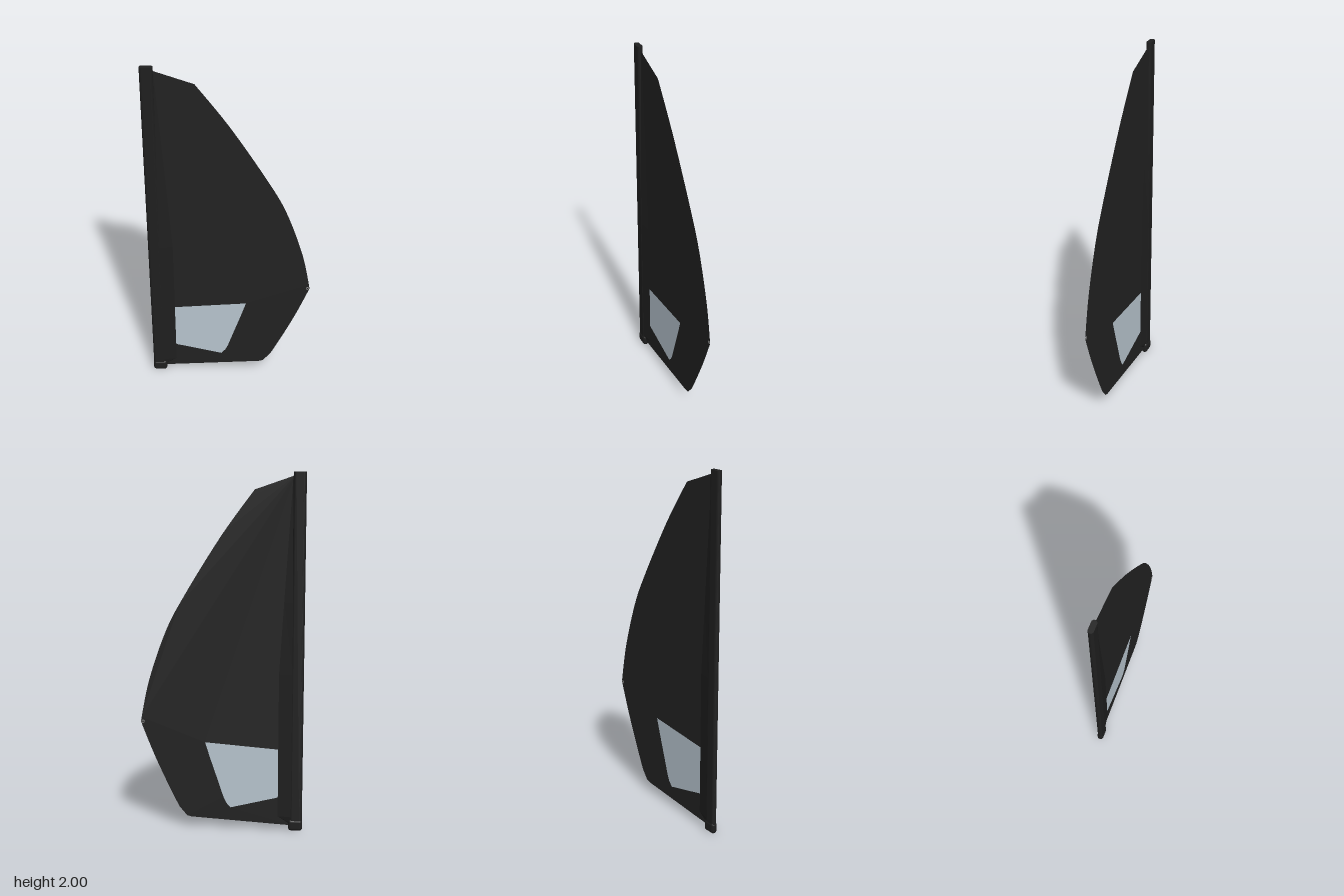
import * as THREE from 'three';
import { RoundedBoxGeometry } from 'three/addons/geometries/RoundedBoxGeometry.js';

const V = (x, y) => new THREE.Vector2(x, y);

export function createModel() {
  const model = new THREE.Group();
  const mat = (name, color, side = THREE.FrontSide) => {
    const m = new THREE.MeshStandardMaterial({ color, side });
    m.name = name;
    return m;
  };
  const cloth = mat('black sailcloth', 0x222222, THREE.DoubleSide);
  const sleeveMat = mat('black sleeve', 0x1f1f1f);
  const clear = mat('pale window film', 0xb8c5cf, THREE.DoubleSide);
  const metal = mat('grey metal', 0x8a8a8a);
  const add = (name, geometry, material) => {
    const mesh = new THREE.Mesh(geometry, material);
    mesh.name = name;
    model.add(mesh);
    return mesh;
  };

  // Window panel outline
  const windowPoints = [
    V(-0.34, 0.468), V(0.092, 0.5), V(0.06, 0.4), V(0.028, 0.305), V(-0.012, 0.185),
    V(-0.028, 0.15), V(-0.052, 0.122), V(-0.34, 0.195),
  ];

  // Sail: straight head and foot, curved leech, hole for the window
  const sail = new THREE.Shape();
  sail.moveTo(-0.41, 0.028);
  sail.lineTo(0.17, 0.06);
  sail.lineTo(0.195, 0.066);
  sail.lineTo(0.24, 0.12);
  sail.splineThru([V(0.305, 0.253), V(0.385, 0.432), V(0.455, 0.612)]);
  sail.splineThru([V(0.405, 0.85), V(0.308, 1.13), V(0.2, 1.335), V(0, 1.657), V(-0.18, 1.905)]);
  sail.lineTo(-0.395, 1.98);
  sail.lineTo(-0.41, 1.98);
  sail.holes.push(new THREE.Path(windowPoints));
  add('sail', new THREE.ShapeGeometry(sail, 10), cloth);
  add('window', new THREE.ShapeGeometry(new THREE.Shape(windowPoints)), clear);

  // Mast sleeve: upright tube with a rounded-rectangle section
  const cx = -0.422, hw = 0.035, r = 0.015;
  const section = new THREE.Shape();
  section.absarc(cx + hw - r, 0, r, -Math.PI / 2, Math.PI / 2, false);
  section.absarc(cx - hw + r, 0, r, Math.PI / 2, Math.PI * 1.5, false);
  const sleeve = new THREE.ExtrudeGeometry(section, { depth: 1.96, bevelEnabled: false, curveSegments: 10 });
  sleeve.rotateX(-Math.PI / 2).translate(0, 0.04, 0);
  add('mastSleeve', sleeve, sleeveMat);

  // Fairing: wedge from the sleeve to the sail, [height, tip x, half thickness]
  const levels = [[0.04, -0.385, 0.006], [0.08, -0.32, 0.013], [0.9, -0.32, 0.013],
    [1.3, -0.344, 0.012], [1.98, -0.386, 0.008]];
  const pos = [];
  for (let i = 0; i < levels.length - 1; i++) {
    for (const s of [1, -1]) {
      const [a, b, c, d] = [levels[i], levels[i + 1]].flatMap(([y, x, h]) => [[-0.395, y, s * h], [x, y, 0.001 * s]]);
      const tris = s > 0 ? [a, b, d, a, d, c] : [a, d, b, a, c, d];
      pos.push(...tris.flat());
    }
  }
  const fairing = new THREE.BufferGeometry();
  fairing.setAttribute('position', new THREE.Float32BufferAttribute(pos, 3));
  fairing.computeVertexNormals();
  add('sleeveFairing', fairing, sleeveMat);

  // Rounded fitting at the foot of the mast
  const foot = new RoundedBoxGeometry(0.08, 0.066, 0.036, 4, 0.017);
  add('mastFoot', foot, sleeveMat).position.set(-0.419, 0.033, 0);

  // Eyelet at the clew
  const eyelet = add('clewEyelet', new THREE.TorusGeometry(0.007, 0.0025, 8, 20), metal);
  eyelet.position.set(0.443, 0.612, 0);
  eyelet.scale.z = 0.6;

  // Centre front to back is already zero; the mast stands on y = 0
  return model;
}
